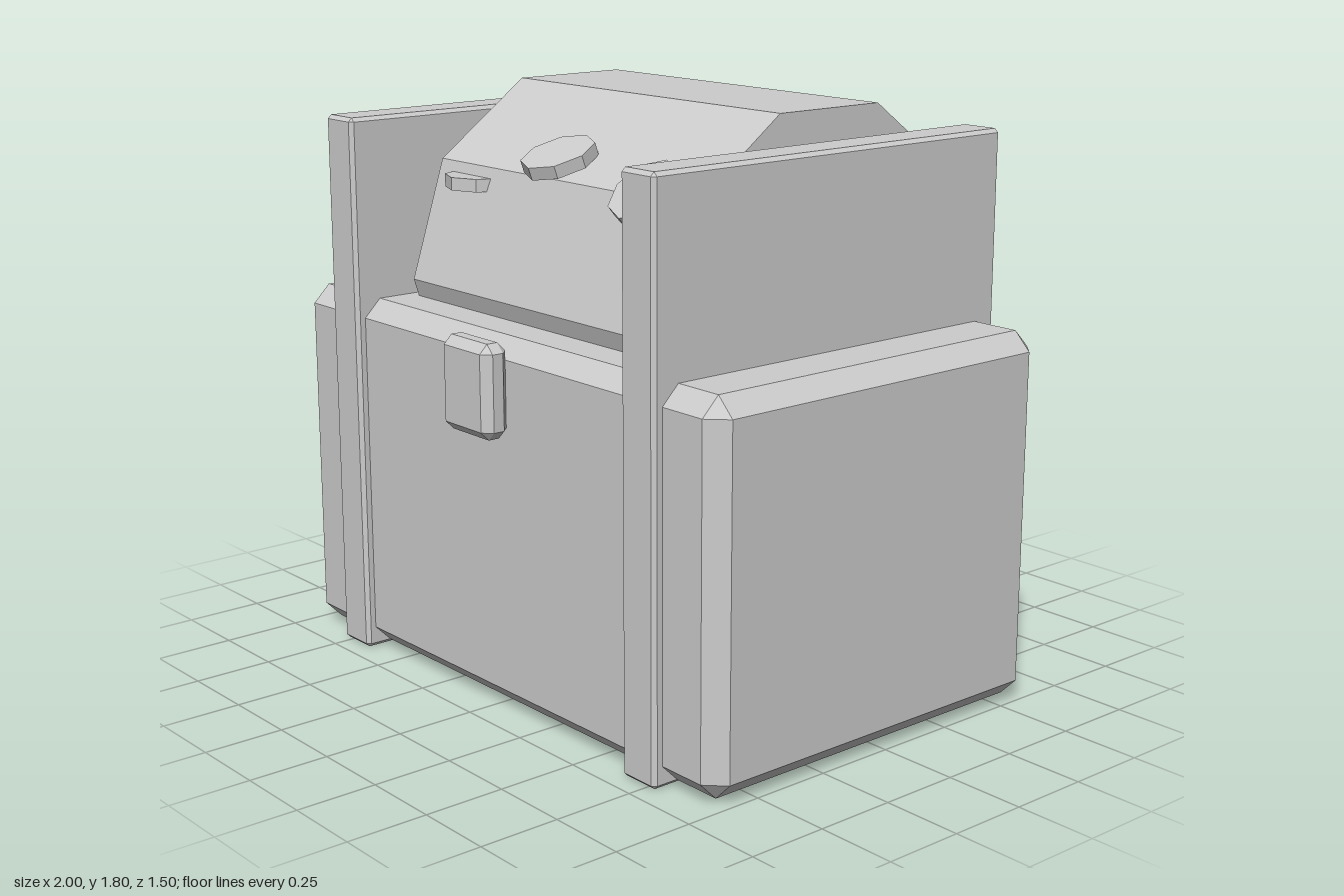
import * as THREE from 'three';
import { ConvexGeometry } from 'three/addons/geometries/ConvexGeometry.js';

// Box with every edge chamfered by c, given by its extents
function chamferBox(x0, x1, y0, y1, z0, z1, c) {
  const half = [(x1 - x0) / 2, (y1 - y0) / 2, (z1 - z0) / 2];
  const points = [];
  for (const sx of [-1, 1]) for (const sy of [-1, 1]) for (const sz of [-1, 1]) {
    for (let full = 0; full < 3; full++) {
      const p = [sx, sy, sz].map((s, i) => s * (half[i] - (i === full ? 0 : c)));
      points.push(new THREE.Vector3(...p));
    }
  }
  const geometry = new ConvexGeometry(points);
  geometry.translate((x0 + x1) / 2, (y0 + y1) / 2, (z0 + z1) / 2);
  return geometry;
}

export function createModel() {
  const model = new THREE.Group();
  model.name = 'treasureChest';
  const grey = new THREE.MeshStandardMaterial({ color: 0xcccccc, flatShading: true });
  grey.name = 'plain grey';

  const add = (name, geometry) => {
    const mesh = new THREE.Mesh(geometry, grey);
    mesh.name = name;
    model.add(mesh);
    return mesh;
  };

  // Chest body
  add('body', chamferBox(-1, 1, 0.01, 1.145, -0.62, 0.66, 0.056));

  // Upright bands on both sides
  for (const [name, x] of [['leftBand', 0.715], ['rightBand', -0.715]]) {
    add(name, chamferBox(x - 0.07, x + 0.07, 0, 1.715, -0.65, 0.69, 0.012));
  }

  // Front latch
  add('latch', chamferBox(-0.115, 0.115, 0.86, 1.145, 0.66, 0.75, 0.027));

  // Ten-sided barrel lid lying along x, with a flat on top
  const lid = new THREE.CylinderGeometry(0.63, 0.63, 1.2, 10);
  lid.rotateZ(Math.PI / 2);
  add('lid', lid).position.set(0, 1.2, -0.125);

  // Coins resting on the front of the lid: x, y, z, forward tilt
  const coins = [
    [-0.43, 1.518, 0.357, 0],
    [-0.03, 1.633, 0.363, 0.35],
    [0.37, 1.575, 0.365, 0.7],
  ];
  coins.forEach(([x, y, z, tilt], i) => {
    const coin = add('coin' + (i + 1), new THREE.CylinderGeometry(0.115, 0.115, 0.04, 8));
    coin.position.set(x, y, z);
    coin.rotation.x = tilt;
  });

  return model;
}
